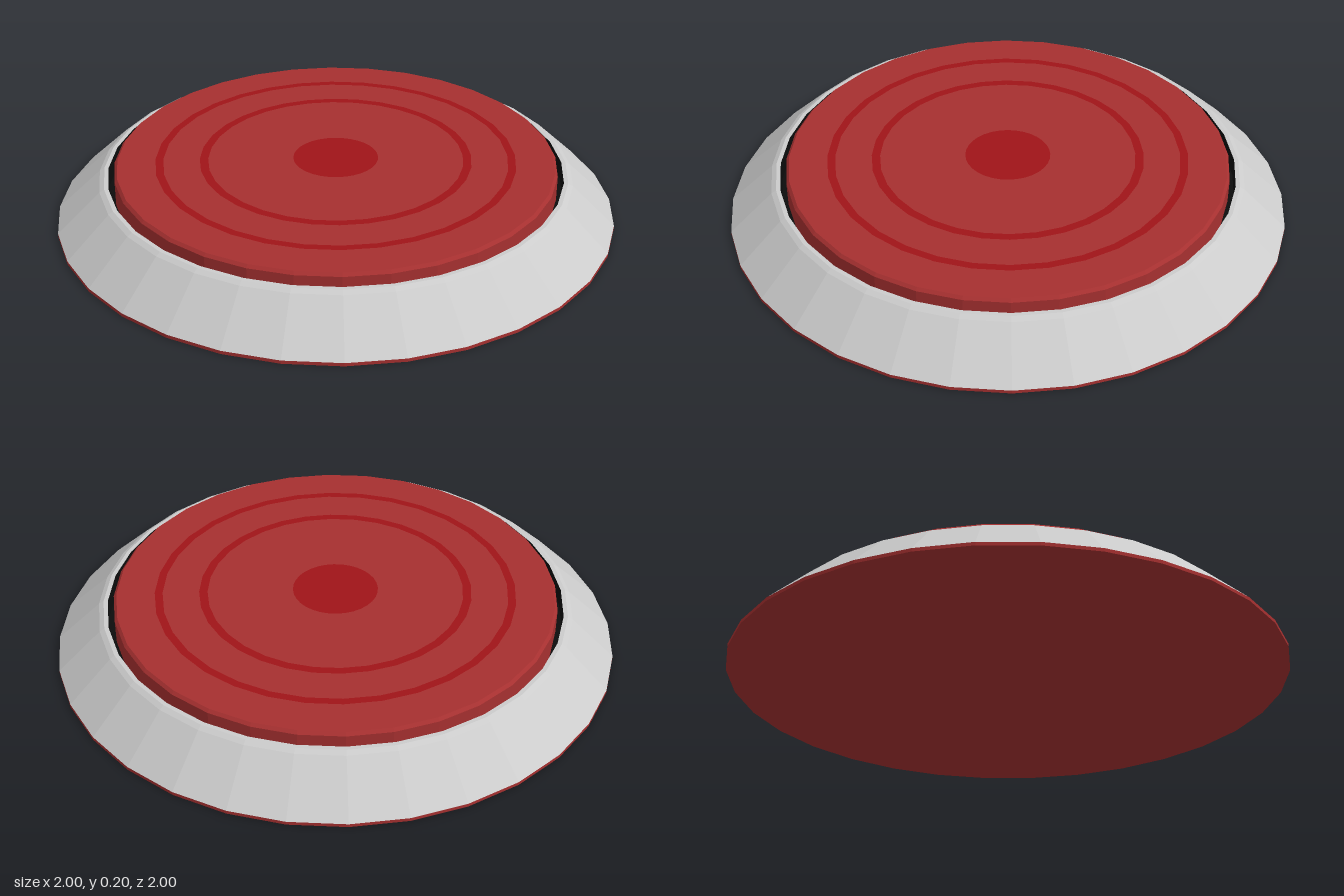
import * as THREE from 'three';

const SIDES = 32;
const red = new THREE.MeshStandardMaterial({ color: 0xa63030, flatShading: true });
const deepRed = new THREE.MeshStandardMaterial({ color: 0xa01418, flatShading: true });
const black = new THREE.MeshStandardMaterial({ color: 0x0c0c0c, flatShading: true });
const grey = new THREE.MeshStandardMaterial({ color: 0xcccccc, flatShading: true });

// Turned part: profile of [radius, height] running up the outside, then inward
function turned(name, profile, material) {
  const points = profile.map(([r, y]) => new THREE.Vector2(r, y));
  const mesh = new THREE.Mesh(new THREE.LatheGeometry(points, SIDES), material);
  mesh.name = name;
  return mesh;
}

export function createModel() {
  const model = new THREE.Group();
  model.name = 'roundPad';
  const top = 0.2;

  // Thin base plate, closed underneath
  model.add(turned('basePlate', [[0, 0], [1, 0], [1, 0.012]], red));

  // Sloped outer rim with a small bevel at the top
  model.add(turned('slopedRim', [[1, 0.012], [0.845, 0.158], [0.828, 0.168], [0.813, 0.168]], grey));

  // Dark groove between rim and disc
  model.add(turned('groove', [[0.813, 0.168], [0.813, 0.1], [0.78, 0.1]], black));

  // Raised disc edge with bevel
  model.add(turned('discEdge', [[0.79, 0.1], [0.79, 0.19], [0.78, top]], red));

  // Disc face: concentric bands of alternating colour, from outside to centre
  const radii = [0.78, 0.644, 0.616, 0.486, 0.456, 0.152, 0];
  for (let i = 0; i < radii.length - 1; i++) {
    const stripe = i % 2 === 1;
    const name = i === 5 ? 'centreSpot' : stripe ? 'ringStripe' : 'discFace';
    model.add(turned(name, [[radii[i], top], [radii[i + 1], top]], stripe ? deepRed : red));
  }

  return model;
}
